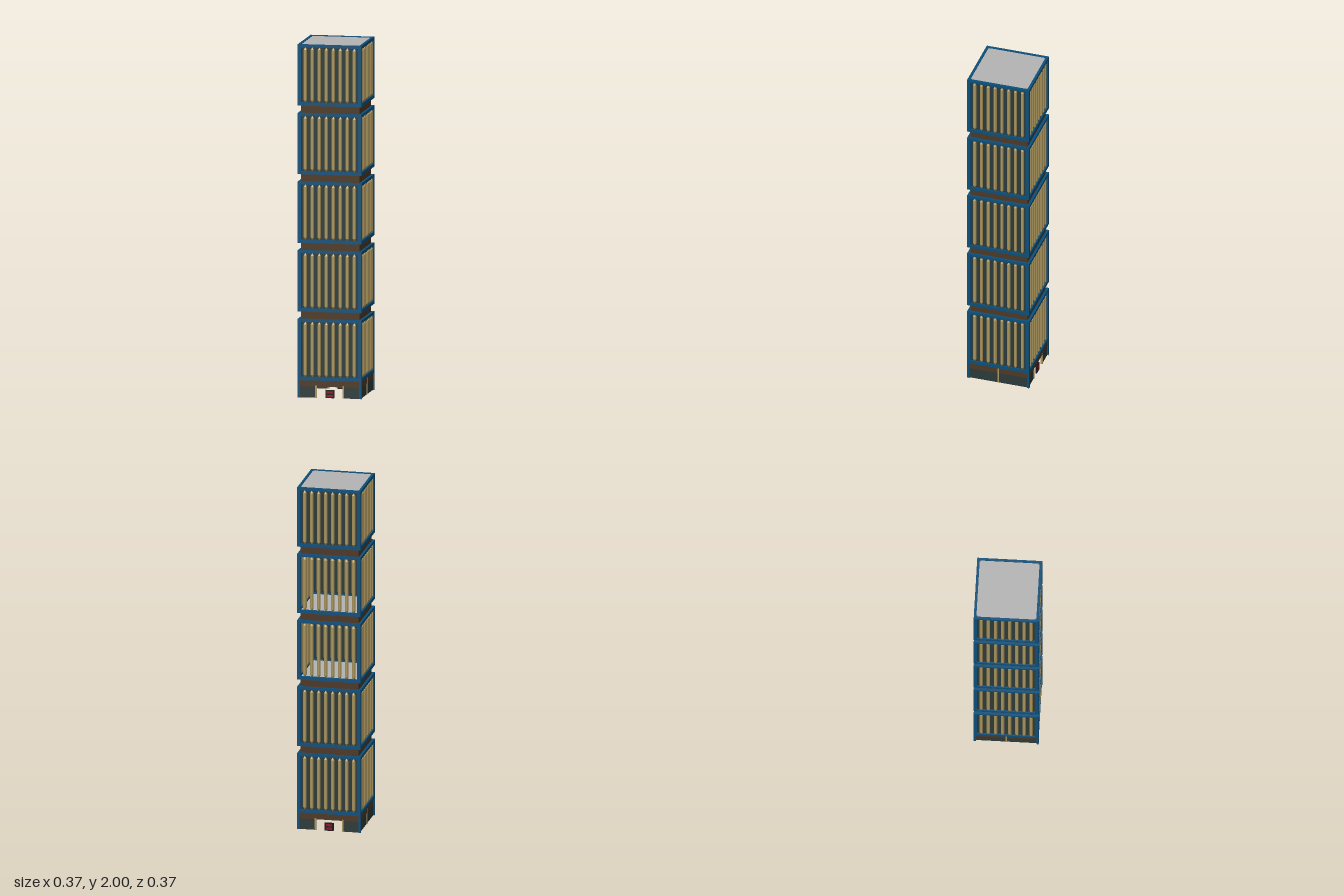
import * as THREE from 'three';

const material = (name, color, side = THREE.FrontSide) => {
  const m = new THREE.MeshStandardMaterial({ color, side });
  m.name = name;
  return m;
};

export function createModel() {
  const blue = material('blue frame', 0x0c4f7a);
  const tan = material('tan fins', 0xa8935c);
  const glass = material('dark glass', 0x2c3a38, THREE.DoubleSide);
  const brown = material('brown band', 0x4d3824);
  const grey = material('grey slab', 0xb4b4b4);
  const red = material('red panel', 0x8c1626);
  const black = material('black panel', 0x1c1416);

  const HALF = 0.1825, RAIL = 0.0145, POST = 0.02;
  const PITCH = 0.3888, HEIGHT = 0.347, BASE = 0.098;

  const box = (parent, name, mat, w, h, d, x, y, z) => {
    const mesh = new THREE.Mesh(new THREE.BoxGeometry(w, h, d), mat);
    mesh.position.set(x, y, z);
    mesh.name = name;
    parent.add(mesh);
    return mesh;
  };

  // Run a builder once for each side; +z is outward in local space
  const sideNames = ['front', 'left', 'back', 'right'];
  const onSides = (parent, build) => sideNames.forEach((name, i) => {
    const side = new THREE.Group();
    side.name = name + 'Side';
    side.rotation.y = i * Math.PI / 2;
    build(side, name);
    parent.add(side);
  });

  const corners = (parent, size, y0, y1) => {
    for (const sx of [-1, 1]) for (const sz of [-1, 1]) {
      const p = HALF - size / 2;
      box(parent, 'cornerPost', blue, size, y1 - y0, size, sx * p, (y0 + y1) / 2, sz * p);
    }
  };

  // Six-sided fin with pointed ends
  const finLength = HEIGHT - 0.032;
  const finGeometry = new THREE.LatheGeometry([
    [0.002, -finLength / 2], [0.0105, -finLength / 2 + 0.014],
    [0.0105, finLength / 2 - 0.014], [0.002, finLength / 2],
  ].map(([r, y]) => new THREE.Vector2(r, y)), 6, Math.PI / 6).toNonIndexed();
  finGeometry.computeVertexNormals();

  const tower = new THREE.Group();
  tower.name = 'tower';

  // Five framed blocks with glass walls and fins
  for (let i = 0; i < 5; i++) {
    const block = new THREE.Group();
    block.name = 'block' + (i + 1);
    const y0 = BASE + i * PITCH, y1 = i === 4 ? 2 : y0 + HEIGHT, mid = (y0 + y1) / 2;
    corners(block, POST, y0, y1);
    onSides(block, (side, name) => {
      const length = 2 * (HALF - POST);
      box(side, 'topRail', blue, length, 0.016, RAIL, 0, y1 - 0.008, HALF - RAIL / 2);
      box(side, 'bottomRail', blue, length, 0.019, RAIL, 0, y0 + 0.0095, HALF - RAIL / 2);
      // Two storeys stand open at the back
      if (!(name === 'back' && (i === 2 || i === 3))) {
        box(side, 'window', glass, length, y1 - y0 - 0.03, 0.003, 0, mid, 0.172);
      }
      for (let k = 0; k < 8; k++) {
        const fin = new THREE.Mesh(finGeometry, tan);
        fin.name = 'fin';
        fin.position.set((k - 3.5) * 0.04, mid, 0.172);
        side.add(fin);
      }
    });
    const slab = 2 * (HALF - RAIL);
    box(block, i === 4 ? 'roof' : 'ceiling', grey, slab, 0.008, slab, 0, y1 - 0.008, 0);
    if (i > 0) {
      box(block, 'floor', grey, slab, 0.008, slab, 0, y0 + 0.006, 0);
      // Recessed band joining this block to the one below
      const gap = PITCH - HEIGHT;
      box(block, 'recessedBand', brown, 0.334, gap + 0.008, 0.334, 0, y0 - gap / 2, 0);
    }
    tower.add(block);
  }

  // Open ground floor with a doorway at the front and back
  const lobby = new THREE.Group();
  lobby.name = 'groundFloor';
  corners(lobby, 0.013, 0, BASE);
  onSides(lobby, (side, name) => {
    const inner = 2 * (HALF - 0.013), z = 0.174;
    box(side, 'headBand', brown, inner, 0.035, 0.008, 0, 0.0805, z);
    if (name === 'left' || name === 'right') {
      box(side, 'lobbyGlass', glass, inner, 0.063, 0.004, 0, 0.0315, z);
      box(side, 'mullion', tan, 0.008, 0.095, 0.012, 0, 0.0475, z);
      return;
    }
    for (const s of [-1, 1]) {
      const w = inner / 2 - 0.08;
      box(side, 'lobbyGlass', glass, w, 0.063, 0.004, s * (0.08 + w / 2), 0.0315, z);
      box(side, 'doorPost', tan, 0.009, 0.07, 0.012, s * 0.078, 0.035, z);
    }
    // Small dark panel with red plates standing in the doorway
    box(side, 'doorPanel', black, 0.05, 0.046, 0.008, 0, 0.023, z);
    for (const face of [-1, 1]) for (const y of [0.013, 0.033]) {
      box(side, 'redPlate', red, 0.036, 0.012, 0.002, 0, y, z + face * 0.0045);
    }
  });
  tower.add(lobby);

  return tower;
}
